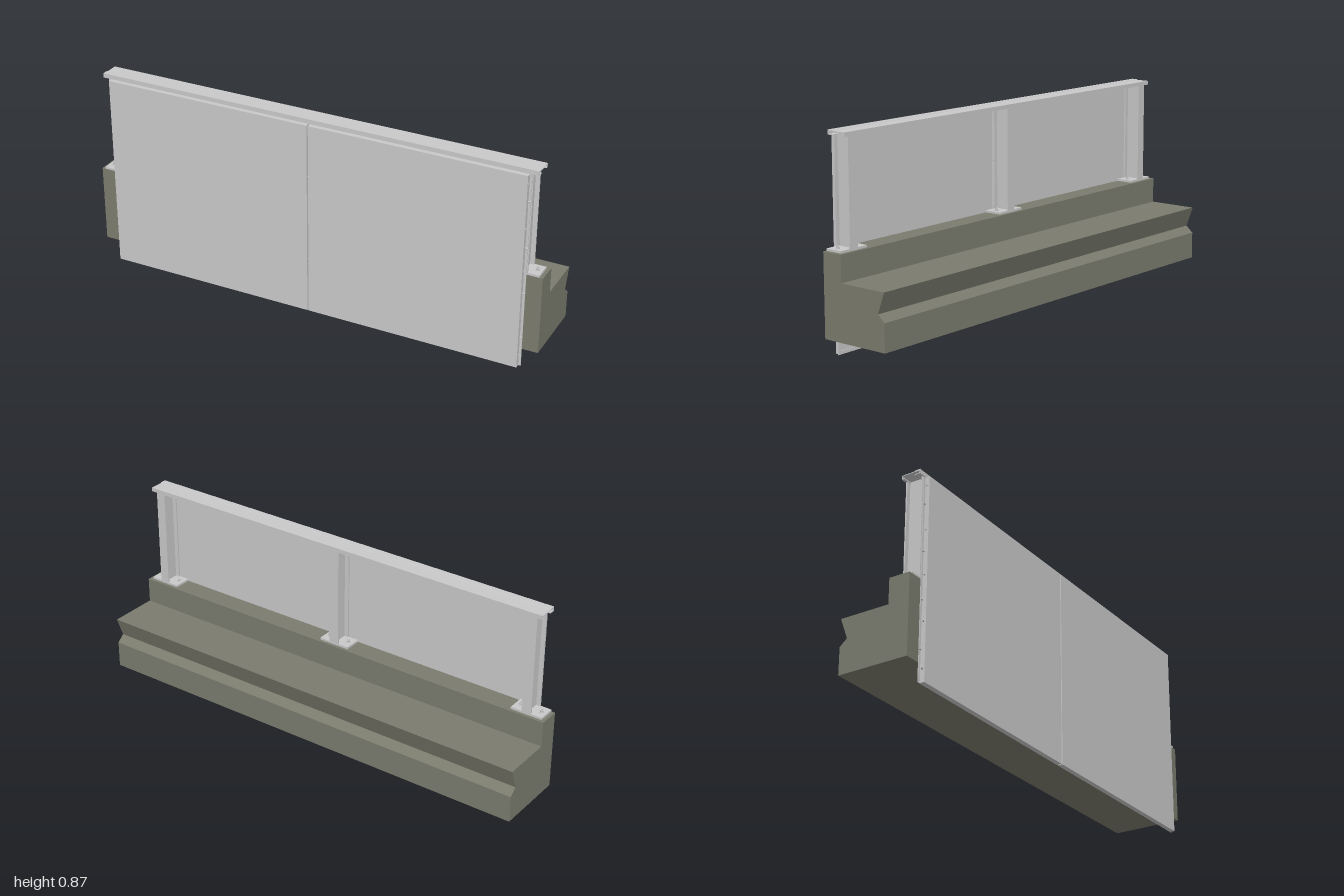
import * as THREE from 'three';

const concrete = new THREE.MeshStandardMaterial({ color: 0x7b7c6e });
concrete.name = 'concrete';
const steel = new THREE.MeshStandardMaterial({ color: 0xc9c9c9 });
steel.name = 'galvanised steel';

function add(parent, name, geometry, material = steel) {
  const mesh = new THREE.Mesh(geometry, material);
  mesh.name = name;
  parent.add(mesh);
  return mesh;
}

// box given by its limits on each axis
function box(parent, name, [x0, x1], [y0, y1], [z0, z1]) {
  const g = new THREE.BoxGeometry(x1 - x0, y1 - y0, z1 - z0);
  g.translate((x0 + x1) / 2, (y0 + y1) / 2, (z0 + z1) / 2);
  return add(parent, name, g);
}

// (z, y) outline extruded along x, with optional round holes
function extrudeX(points, x0, x1, holes = [], radius = 0.004) {
  const shape = new THREE.Shape(points.map(([z, y]) => new THREE.Vector2(z, y)));
  for (const [z, y] of holes) {
    shape.holes.push(new THREE.Path().absarc(z, y, radius, 0, Math.PI * 2, true));
  }
  const g = new THREE.ExtrudeGeometry(shape, { depth: x1 - x0, bevelEnabled: false, curveSegments: 6 });
  return g.rotateY(-Math.PI / 2).translate(x1, 0, 0);
}

// shallow sheet metal tray, open at the back
function makePanel(x0, x1) {
  const panel = new THREE.Group();
  panel.name = 'panel';
  const top = 0.847, back = 0.143, front = 0.165, t = 0.003, lip = 0.014;
  box(panel, 'faceSheet', [x0, x1], [0, top], [front - t, front]);
  box(panel, 'bottomFlange', [x0, x1], [0, t], [back, front - t]);
  box(panel, 'topFlange', [x0, x1], [top - t, top], [back, front - t]);
  box(panel, 'bottomLip', [x0 + t, x1 - t], [t, lip], [back, back + t]);
  box(panel, 'topLip', [x0 + t, x1 - t], [top - lip, top - t], [back, back + t]);
  const outline = [[back, t], [front - t, t], [front - t, top - t], [back, top - t]];
  const holes = [0.055, 0.243, 0.432, 0.62, 0.81].map((y) => [0.153, y]);
  for (const x of [x0, x1 - t]) add(panel, 'sideFlange', extrudeX(outline, x, x + t, holes));
  return panel;
}

// H-section post on a bolted base plate
function makePost(x) {
  const post = new THREE.Group();
  post.name = 'post';
  const y = [0.424, 0.852], w = 0.021, t = 0.006;
  box(post, 'rearFlange', [-w, w], y, [0.066, 0.066 + t]);
  box(post, 'frontFlange', [-w, w], y, [0.143 - t, 0.143]);
  box(post, 'web', [-0.003, 0.003], y, [0.066 + t, 0.143 - t]);
  box(post, 'basePlate', [-0.069, 0.069], [0.415, 0.424], [0.066, 0.142]);
  for (const side of [-1, 1]) {
    const washer = add(post, 'washer', new THREE.CylinderGeometry(0.009, 0.009, 0.002, 16));
    washer.position.set(side * 0.047, 0.425, 0.104);
    const nut = add(post, 'nut', new THREE.CylinderGeometry(0.007, 0.007, 0.006, 6));
    nut.position.set(side * 0.047, 0.429, 0.104);
    const bolt = add(post, 'anchorBolt', new THREE.CylinderGeometry(0.0035, 0.0035, 0.014, 10));
    bolt.position.set(side * 0.047, 0.431, 0.104);
  }
  post.position.x = x;
  return post;
}

export function createModel() {
  const model = new THREE.Group();
  model.name = 'barrierWall';

  // stepped foundation beam with a notch along the back
  add(model, 'concreteBeam', extrudeX([
    [0.143, 0.078], [0.143, 0.415], [0.052, 0.415], [0.052, 0.307],
    [-0.165, 0.307], [-0.133, 0.22], [-0.165, 0.192], [-0.165, 0.078],
  ], -1, 1), concrete);

  model.add(makePanel(-0.923, -0.003), makePanel(0.003, 0.923));
  for (const x of [-0.916, 0, 0.916]) model.add(makePost(x));

  // narrow edge strips and fixing bolts at the panel ends
  for (const s of [-1, 1]) {
    const strip = box(model, 'edgeStrip', [-0.006, 0.006], [0, 0.847], [0.1425, 0.1455]);
    strip.position.x = s * 0.927;
    for (const y of [0.132, 0.332, 0.532, 0.732]) {
      const bolt = add(model, 'panelBolt', new THREE.CylinderGeometry(0.0035, 0.0035, 0.012, 8));
      bolt.rotation.z = Math.PI / 2;
      bolt.position.set(s * 0.928, y, 0.147);
    }
  }

  // cap rail: folded channel open underneath, with inturned lips
  add(model, 'capRail', extrudeX([
    [0.062, 0.847], [0.074, 0.847], [0.074, 0.850], [0.065, 0.850], [0.065, 0.861],
    [0.143, 0.861], [0.143, 0.851], [0.122, 0.851], [0.122, 0.848], [0.147, 0.848],
    [0.147, 0.867], [0.122, 0.867], [0.120, 0.864], [0.062, 0.864],
  ], -0.96, 0.96));

  return model;
}
